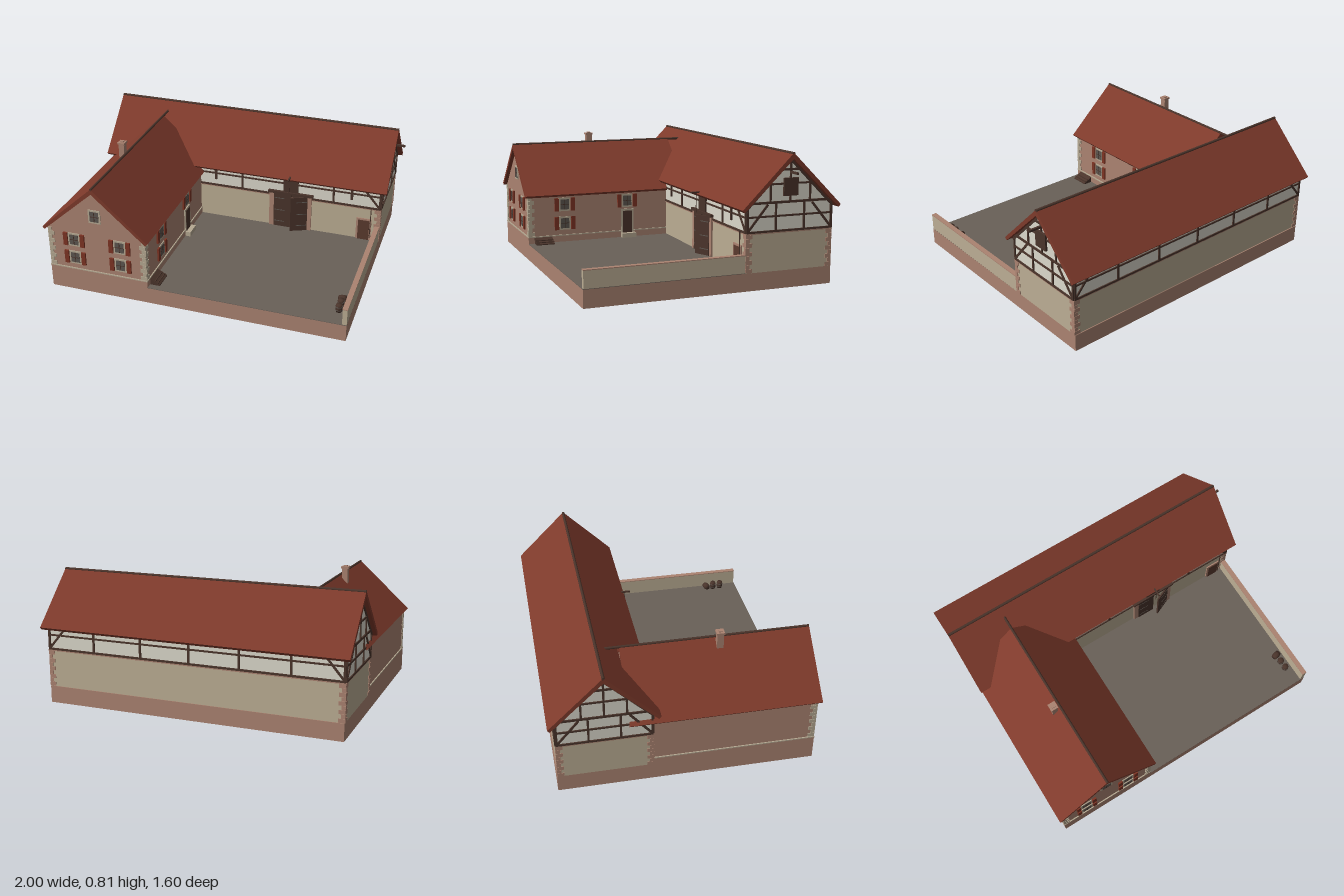
import * as THREE from 'three';

const mat = (name, color) => Object.assign(new THREE.MeshStandardMaterial({ color }), { name });

export function createModel() {
  const M = {
    roof: mat('roof tile', 0x7e3a2b), stone: mat('pink sandstone', 0xab8371),
    render: mat('sand render', 0xbcae94), plaster: mat('white plaster', 0xdcd9cc),
    timber: mat('dark timber', 0x4a342b), shutter: mat('red shutter', 0x7e3424),
    glass: mat('window glass', 0x5d5650), paving: mat('paving', 0x696058),
    trim: mat('pale trim', 0xb6a992), door: mat('brown door', 0x5a3a2e),
  };
  const model = new THREE.Group();
  model.name = 'farmstead';

  const group = (name, parent, x = 0, y = 0, z = 0, ry = 0) => {
    const g = new THREE.Group();
    g.name = name;
    g.position.set(x, y, z);
    g.rotation.y = ry;
    parent.add(g);
    return g;
  };
  const add = (parent, name, geo, m, x = 0, y = 0, z = 0) => {
    const mesh = new THREE.Mesh(geo, m);
    mesh.name = name;
    mesh.position.set(x, y, z);
    parent.add(mesh);
    return mesh;
  };
  // box given by its limits
  const block = (parent, name, m, x0, x1, y0, y1, z0, z1) =>
    add(parent, name, new THREE.BoxGeometry(x1 - x0, y1 - y0, z1 - z0), m, (x0 + x1) / 2, (y0 + y1) / 2, (z0 + z1) / 2);
  // straight timber lying on a facade plane
  const bar = (parent, name, u0, v0, u1, v1, w = 0.014) => {
    const b = add(parent, name, new THREE.BoxGeometry(Math.hypot(u1 - u0, v1 - v0), w, 0.014), M.timber, (u0 + u1) / 2, (v0 + v1) / 2, 0);
    b.rotation.z = Math.atan2(v1 - v0, u1 - u0);
  };
  const prism = (parent, name, m, pts, length) => {
    const geo = new THREE.ExtrudeGeometry(new THREE.Shape(pts.map(p => new THREE.Vector2(...p))), { depth: length, bevelEnabled: false });
    return add(parent, name, geo.translate(0, 0, -length / 2), m);
  };
  const gable = (h, y0, eave, apex) => [[-h, y0], [h, y0], [h, eave], [0, apex], [-h, eave]];
  const chevron = (h, eave, apex, t) => [[-h, eave], [-h + t * 0.5, eave - t * 0.55], [0, apex - t * 1.3],
    [h - t * 0.5, eave - t * 0.55], [h, eave], [0, apex]];

  // ---- ground slab
  const ground = group('ground', model);
  block(ground, 'base', M.stone, -0.97, 0.915, 0, 0.107, -0.765, 0.78);
  block(ground, 'courtyardPaving', M.paving, -0.325, 0.915, 0.107, 0.11, -0.2, 0.78);

  // ---- barn
  const barn = group('barn', model);
  block(barn, 'barnStoneWall', M.render, -0.97, 0.915, 0.107, 0.345, -0.76, -0.2);
  block(barn, 'stringCourse', M.stone, -0.975, 0.92, 0.334, 0.341, -0.765, -0.195);
  const along = group('barnUpper', barn, -0.0275, 0, -0.48, Math.PI / 2);
  prism(along, 'barnPlasterWall', M.plaster, gable(0.28, 0.345, 0.485, 0.77), 1.885);
  const barnRoof = group('barnRoof', barn, -0.025, 0, -0.48, Math.PI / 2);
  prism(barnRoof, 'barnRoofTiles', M.roof, chevron(0.322, 0.485, 0.803, 0.028), 1.95);
  add(barnRoof, 'barnRidge', new THREE.CylinderGeometry(0.009, 0.009, 1.95, 8).rotateX(Math.PI / 2), M.timber, 0, 0.798, 0);

  // corner stones on one edge of a facade; dir points into the wall
  const quoins = (parent, u, dir, y0, y1, m, n) => {
    const h = (y1 - y0) / n;
    for (let i = 0; i < n; i++) {
      const w = i % 2 ? 0.024 : 0.04;
      add(parent, 'cornerStone', new THREE.BoxGeometry(w, h * 0.94, 0.008), m, u + dir * (w / 2 - 0.003), y0 + h * (i + 0.5), 0);
    }
  };

  // long timber-framed sides
  const longSide = (name, z, ry) => {
    const f = group(name, barn, -0.0275, 0, z, ry);
    const H = 0.9425;
    bar(f, 'sillBeam', -H, 0.347, H, 0.347, 0.012);
    bar(f, 'middleRail', -H, 0.435, H, 0.435, 0.01);
    bar(f, 'wallPlate', -H, 0.487, H, 0.487, 0.012);
    for (let i = 0; i <= 6; i++) {
      const u = Math.max(-H + 0.006, Math.min(H - 0.006, -H + i * H / 3));
      bar(f, 'post', u, 0.345, u, 0.49, 0.013);
    }
    for (const s of [-1, 1]) {
      bar(f, 'brace', s * (H - 0.01), 0.355, s * (H - 0.12), 0.485, 0.012);
      quoins(f, s * H, -s, 0.108, 0.334, M.stone, 9);
    }
    for (let i = 0; i < 24; i++) {
      add(f, 'rafterEnd', new THREE.BoxGeometry(0.012, 0.012, 0.035), M.timber, -H + 0.03 + i * 0.0795, 0.478, 0.014);
    }
  };
  longSide('barnFrontFraming', -0.2, 0);
  longSide('barnBackFraming', -0.76, Math.PI);

  // gable ends
  const gableEnd = (name, x, ry) => {
    const f = group(name, barn, x, 0, -0.48, ry);
    bar(f, 'sillBeam', -0.28, 0.347, 0.28, 0.347, 0.012);
    bar(f, 'middleRail', -0.28, 0.435, 0.28, 0.435, 0.011);
    bar(f, 'tieBeam', -0.28, 0.515, 0.28, 0.515, 0.014);
    bar(f, 'upperRail', -0.16, 0.622, 0.16, 0.622, 0.011);
    bar(f, 'collar', -0.08, 0.704, 0.08, 0.704, 0.013);
    bar(f, 'kingPost', 0, 0.515, 0, 0.76, 0.012);
    for (const s of [-1, 1]) {
      bar(f, 'cornerPost', s * 0.274, 0.345, s * 0.274, 0.505, 0.012);
      bar(f, 'post', s * 0.093, 0.345, s * 0.093, 0.515, 0.012);
      bar(f, 'upperPost', s * 0.13, 0.515, s * 0.13, 0.65, 0.012);
      bar(f, 'brace', s * 0.27, 0.355, s * 0.145, 0.505, 0.013);
      bar(f, 'edgeRafter', s * 0.285, 0.477, 0, 0.76, 0.013);
      quoins(f, s * 0.28, -s, 0.108, 0.334, M.stone, 9);
    }
    return f;
  };
  const rightGable = gableEnd('barnRightGable', 0.915, Math.PI / 2);
  gableEnd('barnLeftGable', -0.97, -Math.PI / 2);
  add(rightGable, 'loftHatch', new THREE.BoxGeometry(0.094, 0.105, 0.022), M.timber, 0, 0.603, 0.002);
  add(rightGable, 'hoistBeam', new THREE.BoxGeometry(0.013, 0.013, 0.12), M.timber, 0, 0.688, 0.025);

  // barn gate, loft door, vents and side door
  const front = group('barnOpenings', barn, 0, 0, -0.2);
  for (const x of [0.182, 0.44]) block(front, 'gatePost', M.stone, x - 0.016, x + 0.016, 0.108, 0.362, -0.01, 0.012);
  block(front, 'gateLintel', M.timber, 0.158, 0.467, 0.36, 0.376, -0.01, 0.02);
  const leaf = (name, hinge, dir, width, angle) => {
    const g = group(name, front, hinge, 0, 0.01, angle);
    add(g, 'leafBoards', new THREE.BoxGeometry(width, 0.25, 0.01), M.timber, dir * width / 2, 0.236, 0);
    for (const y of [0.15, 0.235, 0.325]) add(g, 'hingeStrap', new THREE.BoxGeometry(0.07, 0.005, 0.013), M.glass, dir * 0.04, y, 0);
  };
  leaf('leftLeaf', 0.198, 1, 0.119, 0);
  leaf('rightLeaf', 0.428, -1, 0.114, 0.42);
  block(front, 'loftDoor', M.timber, 0.262, 0.362, 0.376, 0.482, -0.01, 0.011);
  block(front, 'frontHoist', M.timber, 0.305, 0.315, 0.492, 0.502, -0.02, 0.085);
  block(front, 'hoistRope', M.timber, 0.3085, 0.3115, 0.37, 0.495, 0.0485, 0.0515);
  for (const x of [-0.215, 0.722]) block(front, 'ventSlit', M.timber, x - 0.008, x + 0.008, 0.39, 0.468, -0.004, 0.009);
  block(front, 'sideDoorFrame', M.stone, 0.762, 0.862, 0.108, 0.264, -0.01, 0.008);
  block(front, 'sideDoor', M.door, 0.775, 0.849, 0.109, 0.252, -0.01, 0.012);
  block(front, 'pole', M.timber, 0.853, 0.858, 0.13, 0.35, 0.01, 0.015);

  // ---- house
  const house = group('house', model, -0.645, 0, 0);
  prism(house, 'houseWalls', M.stone, gable(0.32, 0.107, 0.428, 0.72), 1.11).position.z = 0.22;
  block(house, 'housePlinth', M.stone, -0.325, 0.325, 0.107, 0.15, -0.2, 0.78);
  block(house, 'plinthLedge', M.trim, -0.327, 0.327, 0.15, 0.157, -0.2, 0.782);
  prism(house, 'houseRoofTiles', M.roof, chevron(0.346, 0.432, 0.745, 0.026), 1.138).position.z = 0.231;
  add(house, 'houseRidge', new THREE.CylinderGeometry(0.008, 0.008, 1.23, 8).rotateX(Math.PI / 2), M.timber, 0, 0.741, 0.185);

  const chimney = group('chimney', house, -0.04, 0, 0.247);
  block(chimney, 'chimneyStack', M.stone, -0.018, 0.018, 0.66, 0.795, -0.02, 0.02);
  block(chimney, 'chimneyCap', M.stone, -0.024, 0.024, 0.788, 0.8, -0.024, 0.024);
  block(chimney, 'chimneyPot', M.stone, -0.011, 0.011, 0.8, 0.806, -0.011, 0.011);

  // window facing +z, with optional shutters
  const windowAt = (parent, u, v, shutters = true) => {
    const g = group('window', parent, u, v, 0);
    add(g, 'windowFrame', new THREE.BoxGeometry(0.08, 0.09, 0.008), M.trim);
    add(g, 'windowPane', new THREE.BoxGeometry(0.058, 0.068, 0.012), M.glass);
    add(g, 'mullion', new THREE.BoxGeometry(0.004, 0.068, 0.015), M.timber);
    add(g, 'crossbar', new THREE.BoxGeometry(0.058, 0.004, 0.015), M.timber);
    if (shutters) for (const s of [-1, 1]) add(g, 'shutter', new THREE.BoxGeometry(0.028, 0.088, 0.016), M.shutter, s * 0.056, 0, 0.002);
  };
  const hf = group('houseFront', house, 0, 0, 0.776);
  for (const u of [-0.15, 0.153]) for (const v of [0.235, 0.362]) windowAt(hf, u, v);
  windowAt(hf, 0, 0.548, false);
  const hs = group('houseCourtSide', house, 0.321, 0, 0, Math.PI / 2);
  windowAt(hs, -0.53, 0.235);
  windowAt(hs, -0.53, 0.362);
  windowAt(hs, -0.088, 0.362);
  add(hs, 'doorFrame', new THREE.BoxGeometry(0.09, 0.195, 0.014), M.trim, -0.088, 0.207, 0);
  add(hs, 'houseDoor', new THREE.BoxGeometry(0.066, 0.183, 0.02), M.timber, -0.088, 0.2, 0);
  add(hs, 'doorStep', new THREE.BoxGeometry(0.1, 0.032, 0.042), M.trim, -0.085, 0.125, 0.02);
  const hl = group('houseOuterSide', house, -0.32, 0, 0, -Math.PI / 2);
  for (const s of [-1, 1]) quoins(hf, s * 0.32, -s, 0.158, 0.425, M.trim, 10);
  quoins(hs, -0.775, 1, 0.158, 0.425, M.trim, 10);
  quoins(hl, 0.775, -1, 0.158, 0.425, M.trim, 10);

  // sloping cellar hatch with battens
  const hatch = group('cellarHatch', model, -0.318, 0, 0.68);
  prism(hatch, 'hatchBody', M.timber, [[0, 0.108], [0.062, 0.108], [0.062, 0.116], [0, 0.15]], 0.12);
  for (const x of [0.03, 0.048]) add(hatch, 'hatchBatten', new THREE.BoxGeometry(0.006, 0.006, 0.12), M.timber, x, 0.151 - x * 0.55, 0);

  // ---- yard wall
  const wall = group('yardWall', model);
  block(wall, 'yardWallBody', M.render, 0.887, 0.915, 0.107, 0.212, -0.2, 0.777);
  block(wall, 'yardWallCoping', M.stone, 0.884, 0.916, 0.212, 0.217, -0.2, 0.778);

  // barrels, one lying on its side
  const barrels = group('barrels', model, 0.842, 0.111, 0);
  const profile = [[0, 0], [0.017, 0], [0.022, 0.018], [0.022, 0.034], [0.017, 0.052], [0, 0.052]].map(p => new THREE.Vector2(...p));
  for (const z of [0.605, 0.657]) {
    add(barrels, 'barrel', new THREE.LatheGeometry(profile, 12), M.timber, 0, 0, z);
    for (const y of [0.016, 0.036]) add(barrels, 'barrelHoop', new THREE.CylinderGeometry(0.0228, 0.0228, 0.004, 12), M.glass, 0, y, z);
  }
  const lying = add(barrels, 'lyingBarrel', new THREE.LatheGeometry(profile, 12), M.timber, -0.026, 0.022, 0.56);
  lying.rotation.set(0, 0.25, -Math.PI / 2);

  return model;
}
